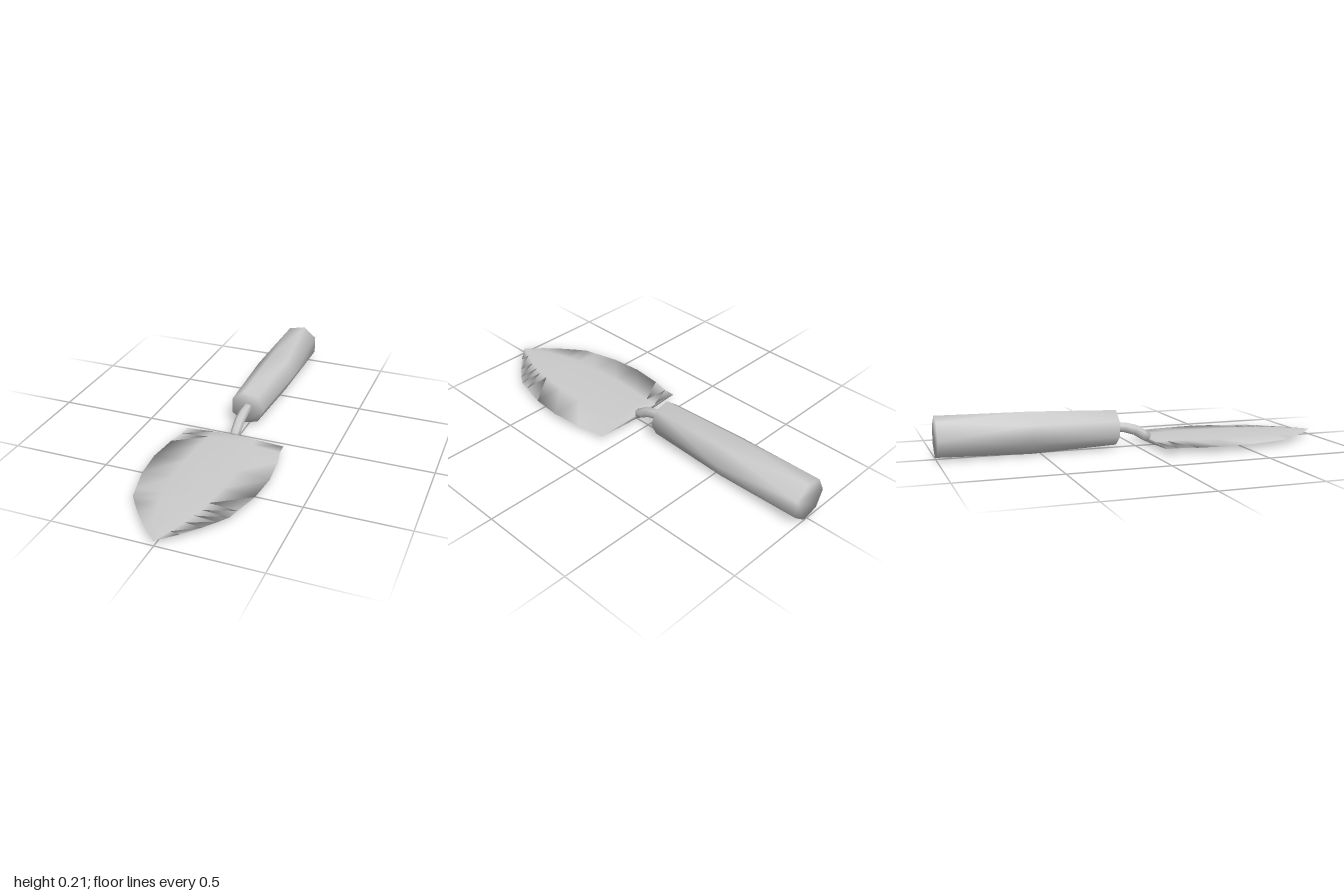
import * as THREE from 'three';

const material = new THREE.MeshStandardMaterial({ color: 0xcccccc, side: THREE.DoubleSide });

// Closed smooth skin through equal-length rings, ordered from back to front,
// each running counter-clockwise as seen from +z.
function loft(name, rings) {
  const n = rings[0].length;
  const points = rings.flat();
  const index = [];
  for (let i = 0; i < rings.length - 1; i++) {
    for (let j = 0; j < n; j++) {
      const k = (j + 1) % n;
      const a = i * n + j, b = i * n + k, c = b + n, d = a + n;
      index.push(a, b, c, a, c, d);
    }
  }
  const last = (rings.length - 1) * n;
  for (let j = 1; j < n - 1; j++) {
    index.push(0, j + 1, j, last, last + j, last + j + 1);
  }
  const geometry = new THREE.BufferGeometry().setFromPoints(points);
  geometry.setIndex(index);
  geometry.computeVertexNormals();
  const mesh = new THREE.Mesh(geometry, material);
  mesh.name = name;
  return mesh;
}

// Regular ring at (y, z), tilted about x and turned by an angle
function ring(sides, radius, y, z, turn = 0, tilt = 0) {
  return Array.from({ length: sides }, (_, j) => {
    const a = (j / sides) * Math.PI * 2 + turn;
    const up = Math.sin(a) * radius;
    return new THREE.Vector3(Math.cos(a) * radius, y + up * Math.cos(tilt), z + up * Math.sin(tilt));
  });
}

export function createModel() {
  const group = new THREE.Group();
  group.name = 'trowel';

  // Blade: thin lens section, [z, half width, half thickness]
  const stations = [
    [0.07, 0.26, 0.015], [0.13, 0.262, 0.016], [0.22, 0.282, 0.016],
    [0.38, 0.298, 0.016], [0.54, 0.284, 0.015], [0.67, 0.25, 0.0135],
    [0.73, 0.235, 0.012], [0.78, 0.2, 0.0105], [0.84, 0.155, 0.009],
    [0.92, 0.085, 0.006], [1.0, 0.001, 0.0005],
  ];
  const section = [[1, 0], [0.45, 0.62], [0, 1], [-0.45, 0.62], [-1, 0], [-0.45, -0.62], [0, -1], [0.45, -0.62]];
  group.add(loft('blade', stations.map(([z, w, t]) =>
    section.map(([x, y]) => new THREE.Vector3(x * w, 0.028 + y * t, z)))));

  // Neck: bent rod, [z, y, radius, tilt]
  const bend = [
    [-0.14, 0.106, 0.026, 0.05], [-0.06, 0.1, 0.026, 0.15],
    [0.0, 0.083, 0.027, 0.4], [0.04, 0.057, 0.026, 0.5], [0.07, 0.038, 0.024, 0.5],
  ];
  group.add(loft('neck', bend.map(([z, y, r, tilt]) => ring(7, r, y, z, 0, tilt))));

  // Handle: seven-sided grip, fullest at the middle, butt end turned half a side
  const grip = [[-1, 0.104, Math.PI / 7], [-0.55, 0.107, 0], [-0.11, 0.09, 0]];
  group.add(loft('handle', grip.map(([z, r, turn]) => ring(7, r, 0.105, z, turn))));

  return group;
}
